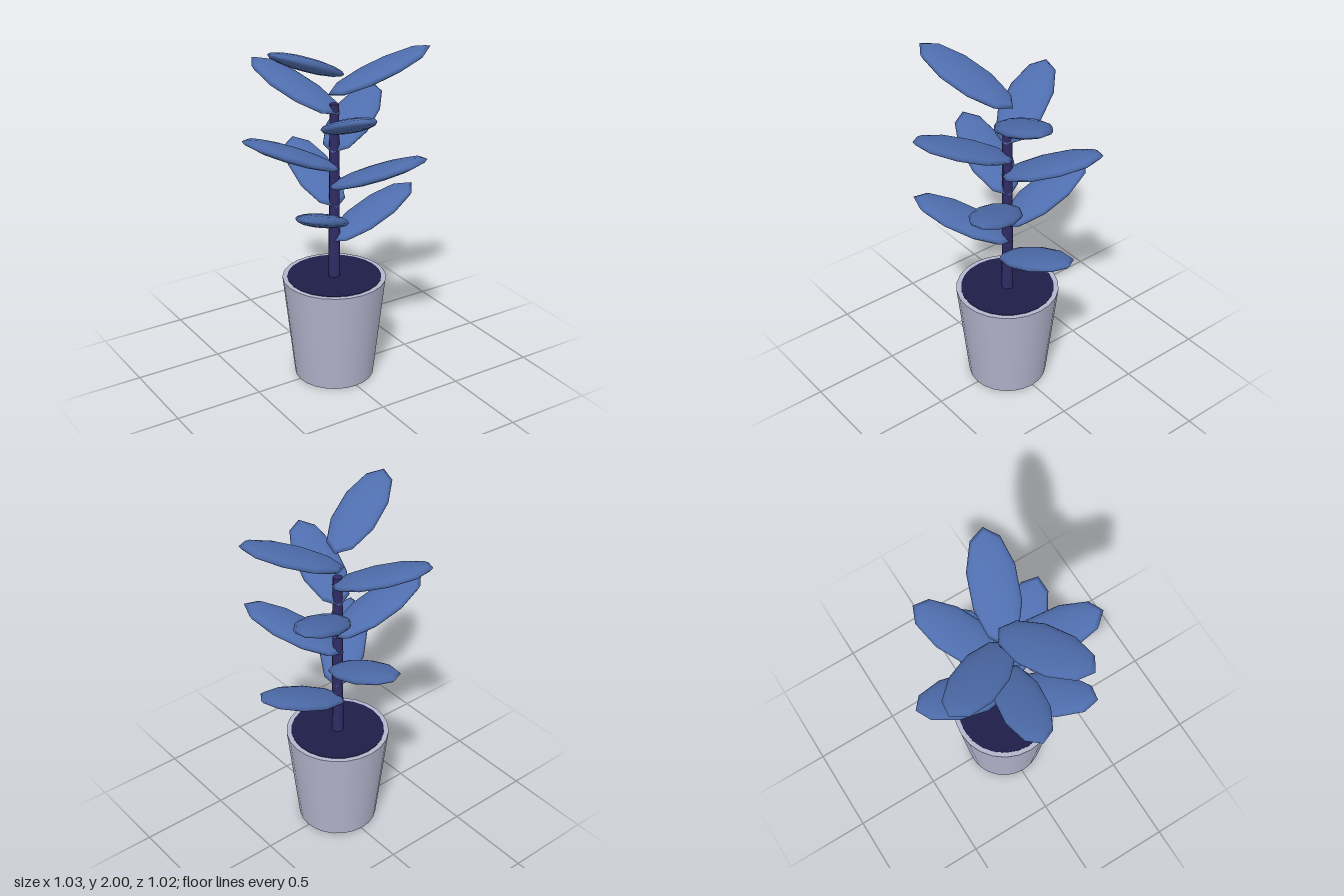
import * as THREE from 'three';

const paint = (name, color) => {
  const m = new THREE.MeshStandardMaterial({ color });
  m.name = name;
  return m;
};

export function createModel() {
  const model = new THREE.Group();
  model.name = 'pottedPlant';
  const potGrey = paint('paleGrey', 0xb4b5cd);
  const soilNavy = paint('darkNavy', 0x1d1d48);
  const stemPurple = paint('deepPurple', 0x302c66);
  const leafBlue = paint('leafBlue', 0x4f6eae);

  // everything grows around the pot axis
  const plant = new THREE.Group();
  plant.name = 'plant';
  plant.position.set(-0.006, 0, 0.009);
  model.add(plant);

  const add = (name, geometry, material, y) => {
    const mesh = new THREE.Mesh(geometry, material);
    mesh.name = name;
    mesh.position.y = y;
    plant.add(mesh);
    return mesh;
  };

  // tapered pot, soil disc and stem
  add('pot', new THREE.CylinderGeometry(0.29, 0.225, 0.6, 24), potGrey, 0.3);
  add('soil', new THREE.CylinderGeometry(0.263, 0.263, 0.008, 24), soilNavy, 0.599);
  add('stem', new THREE.CylinderGeometry(0.026, 0.033, 1.01, 8), stemPurple, 1.105);

  // flattened ten-sided leaf, lifted at its tip
  const leafShape = new THREE.SphereGeometry(0.3, 10, 8);
  leafShape.scale(1, 0.125, 0.435);
  leafShape.rotateZ(0.4);
  leafShape.translate(0.242, 0, 0);

  // leaves climb the stem in a golden-angle spiral
  const goldenAngle = THREE.MathUtils.degToRad(137.5);
  for (let i = 0; i < 10; i++) {
    const leaf = add('leaf' + (i + 1), leafShape, leafBlue, 0.933 + i * 0.1055);
    leaf.rotation.y = -i * goldenAngle;
  }
  return model;
}
